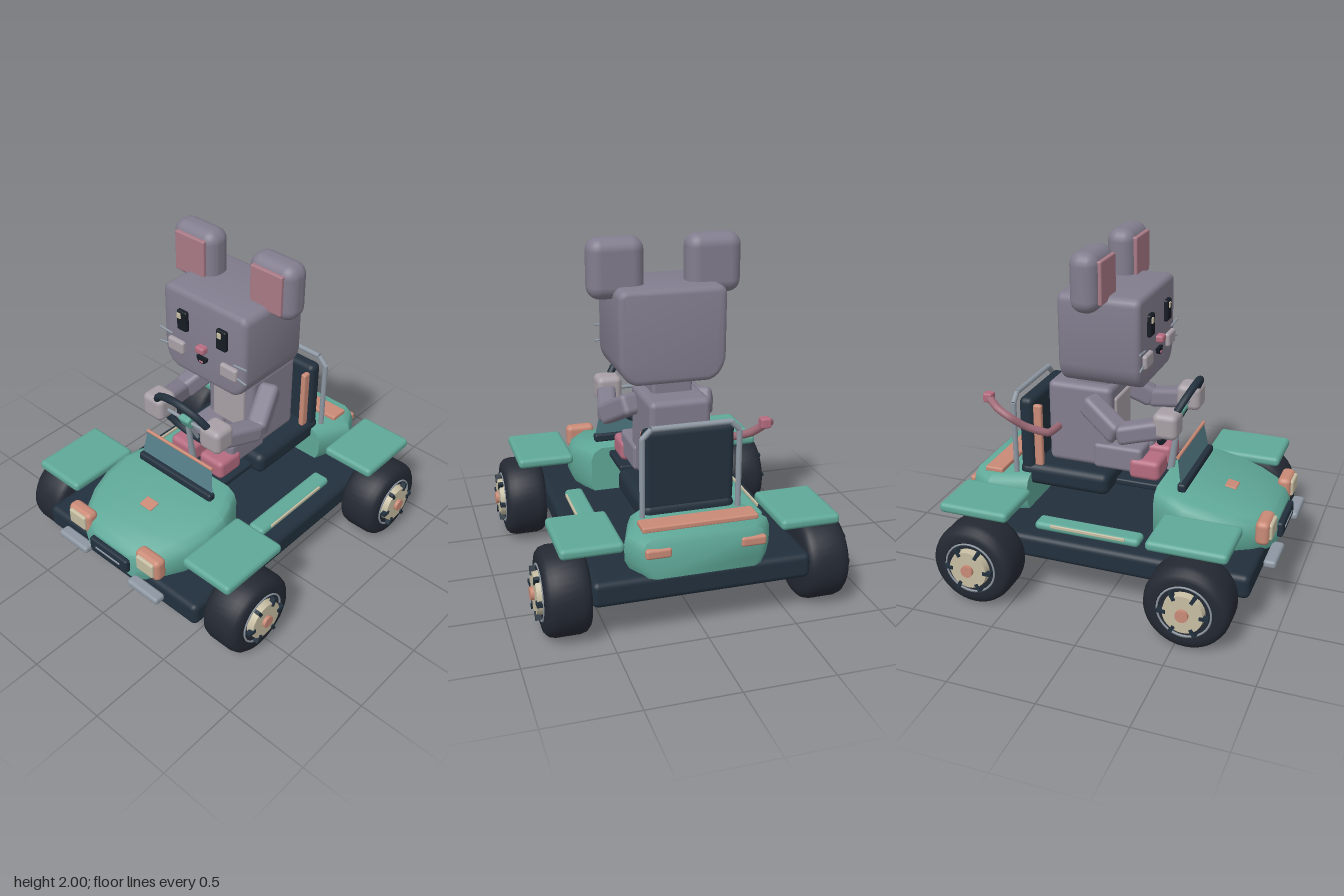
import * as THREE from 'three';
import { toCreasedNormals } from 'three/addons/utils/BufferGeometryUtils.js';
import { RoundedBoxGeometry } from 'three/addons/geometries/RoundedBoxGeometry.js';

const C = {
  green: 0x5fa898, dark: 0x22303d, tyre: 0x242933, fur: 0x827d8e, pale: 0xa8a0a6, coral: 0xc98a76,
  earPink: 0xa87a86, pink: 0xb56c80, tail: 0xa06c78, cream: 0xc6bda2, grey: 0x8d97a2, glass: 0x56808a, black: 0x161c24,
};
const mats = {};
const mat = (c) => (mats[c] ??= new THREE.MeshStandardMaterial({ color: C[c] }));
const V = (x, y, z) => new THREE.Vector3(x, y, z);

export function createModel() {
  const root = new THREE.Group();

  const add = (name, geo, color, parent = root) => {
    const m = new THREE.Mesh(geo, mat(color));
    m.name = name;
    parent.add(m);
    return m;
  };
  // Rounded block given by its extents on each axis
  const block = (name, color, [x0, x1], [y0, y1], [z0, z1], r = 0.02, parent = root) => {
    const w = x1 - x0, h = y1 - y0, d = z1 - z0;
    const geo = new RoundedBoxGeometry(w, h, d, 3, Math.min(r, w * 0.49, h * 0.49, d * 0.49));
    const m = add(name, geo, color, parent);
    m.position.set((x0 + x1) / 2, (y0 + y1) / 2, (z0 + z1) / 2);
    return m;
  };
  // Left and right pair of blocks; the x extents are for the +x side
  const pair = (name, color, [x0, x1], y, z, r) => {
    block(name + 'Left', color, [x0, x1], y, z, r);
    block(name + 'Right', color, [-x1, -x0], y, z, r);
  };
  const rod = (name, color, a, b, r0, r1 = r0, parent = root) => {
    const m = add(name, new THREE.CylinderGeometry(r1, r0, a.distanceTo(b), 12), color, parent);
    m.position.copy(a).lerp(b, 0.5);
    m.quaternion.setFromUnitVectors(V(0, 1, 0), b.clone().sub(a).normalize());
    return m;
  };
  const limb = (name, a, b, w, h) => {
    const m = add(name, new RoundedBoxGeometry(w, h, a.distanceTo(b), 3, 0.03), 'fur');
    m.position.copy(a).lerp(b, 0.5);
    m.lookAt(b);
    return m;
  };
  // Body shell from cross-sections [z, halfWidth, top], ordered by rising z
  const shell = (name, sections, bottom) => {
    const pos = [], idx = [];
    const outline = (w, t) => {
      const half = [[w - 0.03, bottom], [w, bottom + 0.06], [w, t - 0.075], [w - 0.018, t - 0.028], [w - 0.065, t]];
      return [...half, ...half.map(([x, y]) => [-x, y]).reverse()];
    };
    const n = 10;
    sections.forEach(([z, w, t]) => outline(w, t).forEach(([x, y]) => pos.push(x, y, z)));
    for (let s = 0; s < sections.length - 1; s++) {
      for (let i = 0; i < n; i++) {
        const a = s * n + i, b = s * n + ((i + 1) % n);
        idx.push(a, b, b + n, a, b + n, a + n);
      }
    }
    const e = (sections.length - 1) * n;
    for (let i = 1; i < n - 1; i++) idx.push(0, i + 1, i, e, e + i, e + i + 1);
    const geo = new THREE.BufferGeometry();
    geo.setAttribute('position', new THREE.Float32BufferAttribute(pos, 3));
    geo.setIndex(idx);
    add(name, toCreasedNormals(geo, 0.7), 'green');
  };

  // Chassis and body shells
  block('chassis', 'dark', [-0.605, 0.605], [0.225, 0.37], [-0.93, 0.85], 0.035);
  shell('hood', [[0.215, 0.34, 0.645], [0.3, 0.385, 0.642], [0.4, 0.423, 0.625], [0.55, 0.42, 0.595], [0.68, 0.385, 0.57],
    [0.79, 0.325, 0.548], [0.86, 0.26, 0.525], [0.895, 0.2, 0.49]], 0.345);
  shell('rearBody', [[-0.945, 0.3, 0.545], [-0.92, 0.34, 0.582], [-0.8, 0.405, 0.587], [-0.58, 0.33, 0.587]], 0.36);
  pair('frontFender', 'green', [0.43, 0.768], [0.52, 0.58], [0.31, 0.765], 0.025);
  pair('rearFender', 'green', [0.43, 0.768], [0.52, 0.58], [-0.92, -0.5], 0.025);
  pair('sideStep', 'green', [0.41, 0.52], [0.365, 0.417], [-0.45, 0.19], 0.025);
  pair('stepTrim', 'cream', [0.518, 0.53], [0.4, 0.42], [-0.345, 0.11], 0.004);
  block('rearPlate', 'coral', [-0.32, 0.32], [0.58, 0.613], [-0.855, -0.74], 0.01);
  pair('tailLight', 'coral', [0.19, 0.33], [0.48, 0.535], [-0.957, -0.92], 0.015);

  // Front details
  pair('headlight', 'coral', [0.185, 0.365], [0.43, 0.573], [0.81, 0.89], 0.03);
  pair('headlightLens', 'cream', [0.21, 0.34], [0.46, 0.557], [0.87, 0.905], 0.012);
  pair('bumper', 'grey', [0.17, 0.405], [0.323, 0.37], [0.875, 0.947], 0.018);
  block('grille', 'dark', [-0.152, 0.152], [0.38, 0.472], [0.885, 0.927], 0.016);
  block('grilleSlot', 'grey', [-0.1, 0.1], [0.418, 0.432], [0.915, 0.931], 0.004);
  const badge = block('hoodBadge', 'coral', [-0.045, 0.045], [0.572, 0.596], [0.55, 0.62], 0.005);
  badge.rotation.x = 0.18;

  // Wheels
  const tyreProfile = [[0, -0.125], [0.185, -0.125], [0.215, -0.118], [0.236, -0.098], [0.245, -0.065], [0.245, 0.065],
    [0.236, 0.098], [0.215, 0.118], [0.185, 0.125], [0.16, 0.125], [0.15, 0.112], [0, 0.112]]
    .map(([r, y]) => new THREE.Vector2(r, y));
  const tyreGeo = toCreasedNormals(new THREE.LatheGeometry(tyreProfile, 40), 0.6);
  for (const s of [-1, 1]) {
    for (const [end, z] of [['front', 0.56], ['rear', -0.7]]) {
      const w = new THREE.Group();
      w.name = end + (s > 0 ? 'WheelLeft' : 'WheelRight');
      w.position.set(s * 0.72, 0.246, z);
      w.rotation.z = -s * Math.PI / 2;
      root.add(w);
      add('tyre', tyreGeo, 'tyre', w);
      const ring = add('rimRing', new THREE.TorusGeometry(0.15, 0.006, 6, 32), 'grey', w);
      ring.rotation.x = Math.PI / 2;
      ring.position.y = 0.124;
      add('hubDisc', new THREE.CylinderGeometry(0.112, 0.118, 0.045, 32), 'cream', w).position.y = 0.13;
      add('hubCap', new THREE.CylinderGeometry(0.036, 0.036, 0.04, 16), 'coral', w).position.y = 0.152;
      for (let i = 0; i < 6; i++) {
        const a = (i / 6) * Math.PI * 2 + Math.PI / 6;
        const spoke = add('spoke', new THREE.BoxGeometry(0.05, 0.03, 0.02), 'dark', w);
        spoke.position.set(Math.cos(a) * 0.118, 0.144, Math.sin(a) * 0.118);
        spoke.rotation.y = -a;
      }
    }
  }

  // Windscreen
  block('windscreenBase', 'dark', [-0.288, 0.288], [0.635, 0.687], [0.337, 0.387], 0.015);
  const pane = new THREE.PlaneGeometry(1, 1);
  const p = pane.attributes.position;
  for (let i = 0; i < p.count; i++) {
    const up = p.getY(i) > 0;
    p.setXYZ(i, Math.sign(p.getX(i)) * (up ? 0.257 : 0.283), up ? 0.835 : 0.67, up ? 0.33 : 0.358);
  }
  pane.computeVertexNormals();
  const glass = new THREE.Mesh(pane, mat('glass').clone());
  glass.material.side = THREE.DoubleSide;
  glass.name = 'windscreen';
  root.add(glass);
  rod('windscreenRail', 'coral', V(-0.258, 0.837, 0.33), V(0.258, 0.837, 0.33), 0.01);

  // Steering
  const steering = new THREE.Group();
  steering.name = 'steeringWheel';
  steering.position.set(0, 1.01, 0.262);
  steering.rotation.x = 0.47;
  root.add(steering);
  add('wheelRim', new THREE.TorusGeometry(0.212, 0.022, 10, 40), 'dark', steering);
  block('wheelHub', 'green', [-0.04, 0.04], [-0.04, 0.04], [-0.02, 0.025], 0.015, steering);
  rod('wheelSpoke', 'grey', V(-0.21, 0, 0), V(0.21, 0, 0), 0.011, 0.011, steering);
  rod('wheelSpoke', 'grey', V(0, 0, 0), V(0, -0.21, 0), 0.011, 0.011, steering);
  rod('steeringColumn', 'grey', V(0, 0.6, 0.205), V(0, 1.0, 0.258), 0.024, 0.014);
  block('footPlate', 'dark', [-0.23, 0.23], [0.588, 0.627], [-0.055, 0.22], 0.012);
  rod('footPlateSupport', 'grey', V(0, 0.365, 0.155), V(0, 0.6, 0.125), 0.026);

  // Seat
  block('seatCushion', 'dark', [-0.26, 0.26], [0.505, 0.642], [-0.66, -0.095], 0.045);
  block('seatBack', 'dark', [-0.255, 0.255], [0.6, 1.06], [-0.65, -0.56], 0.035);
  pair('seatTrim', 'coral', [0.205, 0.24], [0.63, 1.02], [-0.565, -0.512], 0.012);
  const barPoints = [V(-0.27, 0.57, -0.67), V(-0.27, 1.03, -0.67), V(-0.22, 1.08, -0.67),
    V(0.22, 1.08, -0.67), V(0.27, 1.03, -0.67), V(0.27, 0.57, -0.67)];
  barPoints.slice(1).forEach((b, i) => rod('seatFrame', 'grey', barPoints[i], b, 0.016));

  // Torso, legs and feet
  block('torso', 'fur', [-0.175, 0.175], [0.655, 1.157], [-0.495, -0.1], 0.035);
  block('bellyPatch', 'pale', [-0.12, 0.12], [0.8, 1.08], [-0.12, -0.085], 0.015);
  block('neck', 'fur', [-0.115, 0.115], [1.12, 1.24], [-0.34, -0.14], 0.02);
  pair('leg', 'fur', [0.03, 0.19], [0.655, 0.81], [-0.21, 0.09], 0.025);
  pair('foot', 'pink', [0.025, 0.205], [0.628, 0.75], [0.015, 0.2], 0.03);

  // Arms and hands
  for (const s of [-1, 1]) {
    const side = s > 0 ? 'Left' : 'Right';
    limb('upperArm' + side, V(s * 0.2, 1.08, -0.235), V(s * 0.295, 0.945, 0.0), 0.12, 0.125);
    limb('forearm' + side, V(s * 0.295, 0.945, -0.02), V(s * 0.235, 1.0, 0.24), 0.11, 0.115);
  }
  pair('hand', 'pale', [0.147, 0.298], [0.945, 1.098], [0.185, 0.33], 0.035);

  // Head: front outline with a narrower chin, bevelled front and back
  const bev = 0.03, hw = 0.305 - bev, top = 1.74 - bev, low = 1.21 + bev;
  const outline = new THREE.Shape();
  outline.moveTo(-hw + 0.075, low);
  outline.lineTo(hw - 0.075, low);
  outline.quadraticCurveTo(hw - 0.015, low + 0.015, hw, low + 0.1);
  outline.lineTo(hw, top - 0.02);
  outline.quadraticCurveTo(hw, top, hw - 0.02, top);
  outline.lineTo(-hw + 0.02, top);
  outline.quadraticCurveTo(-hw, top, -hw, top - 0.02);
  outline.lineTo(-hw, low + 0.1);
  outline.quadraticCurveTo(-hw + 0.015, low + 0.015, -hw + 0.075, low);
  const headGeo = new THREE.ExtrudeGeometry(outline, {
    depth: 0.485 - 2 * bev, bevelEnabled: true, bevelSize: bev, bevelThickness: bev, bevelSegments: 3, curveSegments: 5,
  });
  add('head', toCreasedNormals(headGeo, 0.7), 'fur').position.z = -0.365 + bev;

  // Ears and face
  pair('ear', 'fur', [0.12, 0.435], [1.665, 2.0], [-0.246, -0.08], 0.072);
  pair('innerEar', 'earPink', [0.167, 0.383], [1.715, 1.955], [-0.1, -0.064], 0.008);
  pair('eye', 'black', [0.108, 0.182], [1.497, 1.625], [0.1, 0.143], 0.012);
  for (const x of [-0.16, 0.137]) block('eyeHighlight', 'cream', [x - 0.014, x + 0.014], [1.575, 1.61], [0.13, 0.149], 0.004);
  block('nose', 'pink', [-0.032, 0.032], [1.415, 1.46], [0.1, 0.162], 0.015);
  const smile = new THREE.Shape();
  smile.moveTo(-0.037, 1.384);
  smile.quadraticCurveTo(-0.035, 1.344, 0, 1.344);
  smile.quadraticCurveTo(0.035, 1.344, 0.037, 1.384);
  smile.closePath();
  add('mouth', new THREE.ExtrudeGeometry(smile, { depth: 0.03, bevelEnabled: false }), 'black').position.z = 0.108;
  block('tongue', 'pink', [-0.015, 0.015], [1.35, 1.362], [0.125, 0.142], 0.004);
  pair('cheek', 'pale', [0.137, 0.258], [1.333, 1.415], [0.1, 0.145], 0.015);
  for (const s of [-1, 1]) {
    rod('whisker', 'grey', V(s * 0.23, 1.435, 0.125), V(s * 0.325, 1.447, 0.13), 0.006);
    rod('whisker', 'grey', V(s * 0.23, 1.362, 0.125), V(s * 0.325, 1.35, 0.13), 0.006);
  }

  // Tail curling out past the seat
  const tailPoints = [V(-0.15, 0.88, -0.43), V(-0.31, 0.895, -0.435), V(-0.385, 0.95, -0.54),
    V(-0.44, 1.02, -0.61), V(-0.43, 1.06, -0.69), V(-0.37, 1.095, -0.775)];
  const tailPath = new THREE.CatmullRomCurve3(tailPoints, false, 'catmullrom', 0.3);
  add('tail', new THREE.TubeGeometry(tailPath, 28, 0.023, 10), 'tail');
  block('tailTip', 'pink', [-0.398, -0.342], [1.067, 1.122], [-0.8, -0.745], 0.01);

  return root;
}
